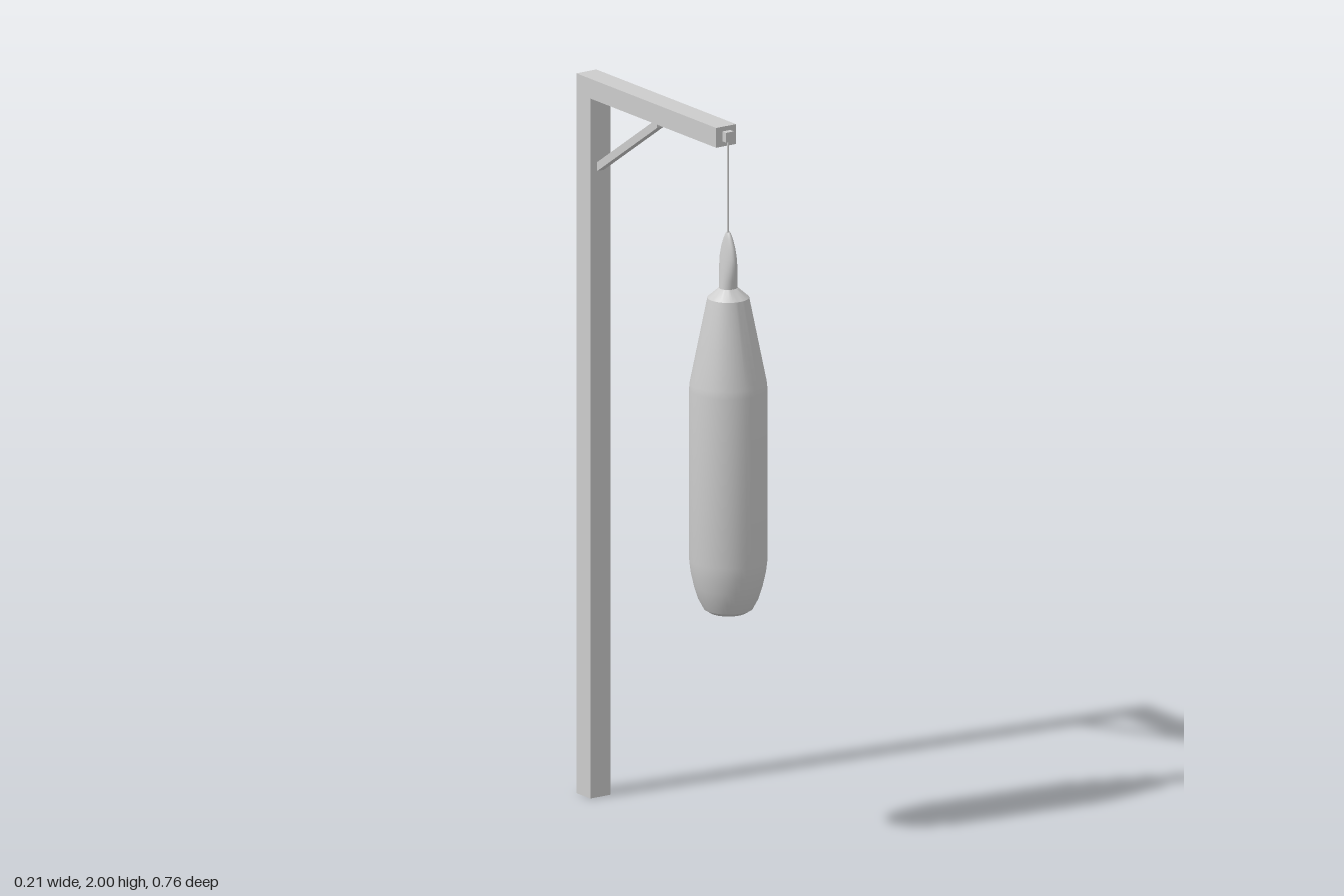
import * as THREE from 'three';
import { mergeVertices, toCreasedNormals } from 'three/addons/utils/BufferGeometryUtils.js';

const grey = new THREE.MeshStandardMaterial({ color: 0xcccccc });
grey.name = 'plain grey';

const BAG_Z = 0.273;

export function createModel() {
  const model = new THREE.Group();
  model.name = 'hangingPunchBag';

  const add = (name, geometry, x = 0, y = 0, z = 0) => {
    const mesh = new THREE.Mesh(geometry, grey);
    mesh.name = name;
    mesh.position.set(x, y, z);
    model.add(mesh);
    return mesh;
  };
  // Box given by its minimum and maximum corners
  const box = (name, [x0, y0, z0], [x1, y1, z1]) =>
    add(name, new THREE.BoxGeometry(x1 - x0, y1 - y0, z1 - z0),
      (x0 + x1) / 2, (y0 + y1) / 2, (z0 + z1) / 2);

  // Wooden frame
  box('post', [-0.036, 0, -0.38], [0.029, 1.945, -0.315]);
  box('beam', [-0.036, 1.945, -0.38], [0.029, 2, 0.268]);
  box('ropePeg', [-0.016, 1.96, 0.268], [0.01, 1.987, 0.285]);

  // Diagonal brace, its ends cut flush with the post and beam
  const outline = new THREE.Shape([
    [-0.315, 1.74], [-0.037, 1.925], [-0.037, 1.945], [-0.045, 1.945], [-0.315, 1.765],
  ].map(([z, y]) => new THREE.Vector2(-z, y)));
  const brace = new THREE.ExtrudeGeometry(outline, { depth: 0.022, bevelEnabled: false });
  brace.rotateY(Math.PI / 2);
  add('brace', brace, -0.014);

  // Rope
  add('rope', new THREE.CylinderGeometry(0.003, 0.003, 0.27, 8), -0.002, 1.835, 0.275);

  // Bag body with a rounded base and sloping shoulder
  const profile = [
    [0, 0.65], [0.05, 0.652], [0.066, 0.662], [0.081, 0.69], [0.092, 0.725],
    [0.101, 0.765], [0.105, 0.8], [0.105, 1.27], [0.103, 1.29],
    [0.056, 1.525], [0.025, 1.552], [0, 1.552],
  ].map(([r, y]) => new THREE.Vector2(r, y));
  add('bag', toCreasedNormals(new THREE.LatheGeometry(profile, 48), 0.5), 0, 0, BAG_Z);

  // Gathered neck: oval sections given as height, half width, half depth
  const sections = [
    [1.545, 0.026, 0.023], [1.575, 0.023, 0.027], [1.605, 0.02, 0.032],
    [1.635, 0.017, 0.033], [1.665, 0.013, 0.027], [1.69, 0.009, 0.017],
    [1.705, 0.005, 0.008], [1.712, 0, 0],
  ];
  const steps = sections.length;
  let neck = new THREE.LatheGeometry(sections.map(([y]) => new THREE.Vector2(1, y)), 24);
  const p = neck.attributes.position;
  for (let i = 0; i < p.count; i++) {
    const [, w, d] = sections[i % steps];
    p.setX(i, p.getX(i) * w);
    p.setZ(i, p.getZ(i) * d);
  }
  neck.deleteAttribute('uv');
  neck.deleteAttribute('normal');
  neck = mergeVertices(neck, 1e-5);
  neck.computeVertexNormals();
  add('neck', neck, 0, 0, BAG_Z);

  return model;
}
